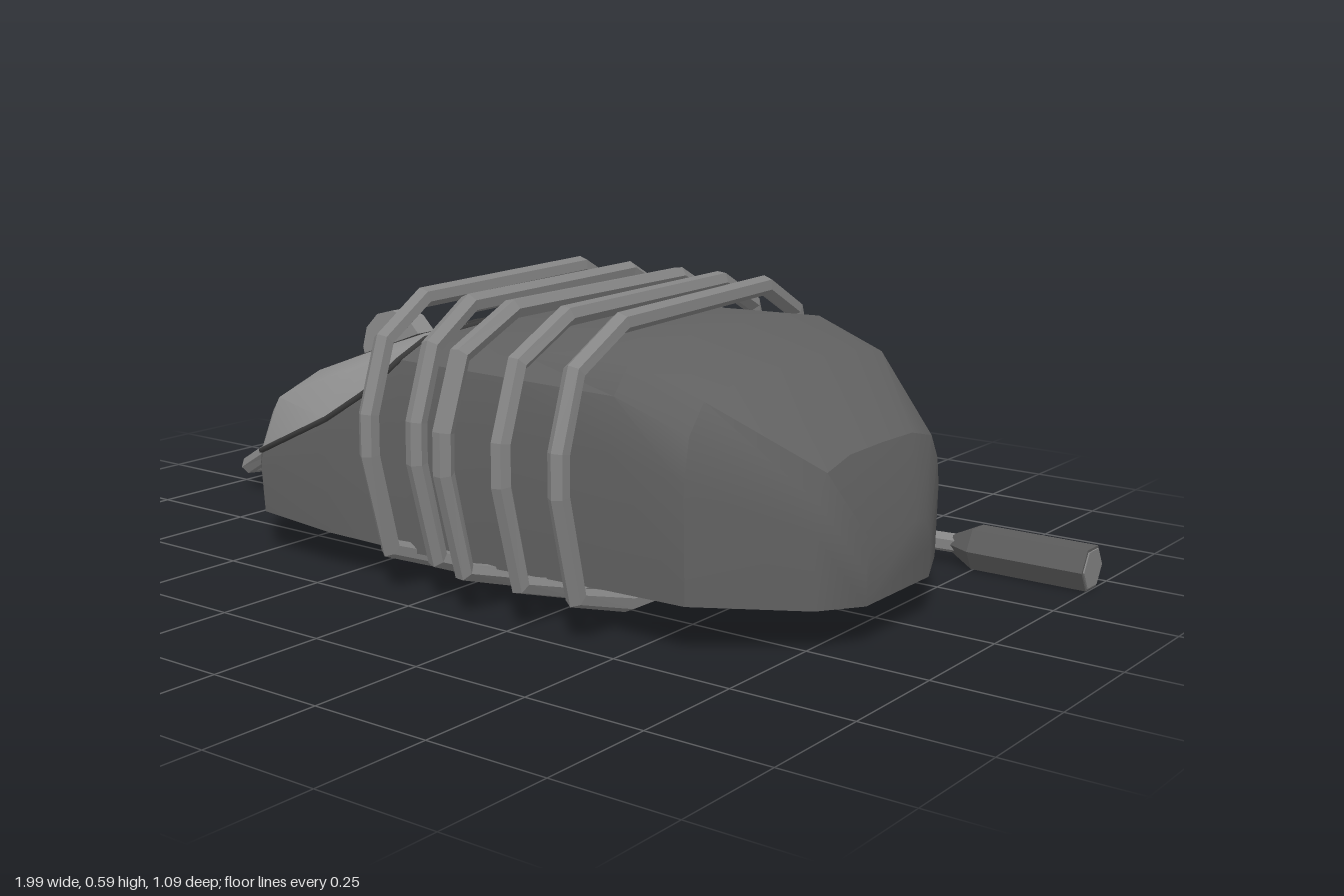
import * as THREE from 'three';
import { toCreasedNormals } from 'three/addons/utils/BufferGeometryUtils.js';

const mat = (name, color, flatShading = false) => {
  const m = new THREE.MeshStandardMaterial({ color, flatShading });
  m.name = name;
  return m;
};

// Straight-segment path whose corners are mitred
class Polyline extends THREE.Curve {
  constructor(points) { super(); this.points = points; }
  getPoint(t, target = new THREE.Vector3()) {
    const n = this.points.length - 1, f = t * n, i = Math.min(Math.floor(f + 1e-6), n - 1);
    return target.lerpVectors(this.points[i], this.points[i + 1], f - i);
  }
  getPointAt(u, target) { return this.getPoint(u, target); }
  getTangentAt(u, target = new THREE.Vector3()) {
    const p = this.points, n = p.length - 1, i = Math.round(u * n);
    target.set(0, 0, 0);
    if (i > 0) target.add(p[i].clone().sub(p[i - 1]).normalize());
    if (i < n) target.add(p[i + 1].clone().sub(p[i]).normalize());
    return target.normalize();
  }
}
const V = (x, y, z) => new THREE.Vector3(x, y, z);
const tube = (points, radius, sides) =>
  new THREE.TubeGeometry(new Polyline(points), points.length - 1, radius, sides, false);

// Body stations: x, zMin, zMax, bottom y, seam y, top y
const stations = [
  [-0.65, -0.05, 0.13, 0.10, 0.17, 0.225],
  [-0.61, -0.19, 0.31, 0.095, 0.19, 0.305],
  [-0.50, -0.30, 0.41, 0.09, 0.225, 0.375],
  [-0.30, -0.34, 0.42, 0.08, 0.32, 0.45],
  [-0.20, -0.335, 0.41, 0.075, 0.385, 0.485],
  [-0.09, -0.33, 0.40, 0.07, 0.46, 0.515],
  [0.12, -0.345, 0.41, 0.08, 0.46, 0.53],
  [0.43, -0.36, 0.425, 0.095, 0.46, 0.54],
  [0.60, -0.32, 0.43, 0.10, 0.41, 0.49],
  [0.78, -0.18, 0.28, 0.09, 0.29, 0.36],
  [0.83, -0.06, 0.18, 0.085, 0.17, 0.21],
];
const SHELL_END = 5, LAST = stations.length - 1, RING = 11;

// Point j of a section, running from the +z bottom edge over the top to the -z bottom edge
function ringPoint(i, j) {
  const [x, z0, z1, yb, ys, yt] = stations[i];
  const k = Math.abs(5 - j), side = Math.sign(5 - j);
  const seamWidth = i >= SHELL_END ? 0.96 : 0.99;
  const width = [0, 0.5, 0.84, seamWidth, 1, 0.98][k];
  const rise = [1, 0.97, 0.7, 0][k];
  const y = k === 5 ? yb : k === 4 ? yb + (ys - yb) * 0.72 : ys + (yt - ys) * rise;
  const bow = i === SHELL_END ? [0.03, 0.025, 0, -0.03, -0.02, 0][k] : 0;
  return V(x + bow, y, (z0 + z1) / 2 + side * width * (z1 - z0) / 2);
}

function patch(out, i0, i1, j0, j1) {
  for (let i = i0; i < i1; i++) for (let j = j0; j < j1; j++) {
    const n = (j + 1) % RING;
    const a = ringPoint(i, j), b = ringPoint(i + 1, j), c = ringPoint(i + 1, n), d = ringPoint(i, n);
    out.push(a, b, d, b, c, d);
  }
}
function fan(out, i, ids, flip) {
  const p = ids.map(j => ringPoint(i, j));
  for (let k = 1; k < p.length - 1; k++) {
    if (flip) out.push(p[0], p[k + 1], p[k]);
    else out.push(p[0], p[k], p[k + 1]);
  }
}
const surface = (tris, crease) =>
  toCreasedNormals(new THREE.BufferGeometry().setFromPoints(tris), crease);

export function createModel() {
  const group = new THREE.Group();
  const dark = mat('darkGrey', 0x616161);
  const light = mat('lightGrey', 0x929292);
  const cableGrey = mat('cableGrey', 0x858585, true);
  const black = mat('seamGrey', 0x3c3c3c);
  const plugGrey = mat('plugGrey', 0x5c5c5c, true);
  const add = (name, geometry, material, x = 0, y = 0, z = 0) => {
    const m = new THREE.Mesh(geometry, material);
    m.name = name;
    m.position.set(x, y, z);
    group.add(m);
    return m;
  };

  // Dark lower body and rear hump
  const body = [];
  patch(body, 0, SHELL_END, 0, 2);
  patch(body, 0, SHELL_END, 8, RING);
  patch(body, SHELL_END, LAST, 0, RING);
  fan(body, 0, [0, 1, 2, 8, 9, 10], false);
  fan(body, LAST, [...Array(RING).keys()], true);
  add('body', surface(body, 0.55), dark);

  // Light button shell on the front half
  const shell = [];
  patch(shell, 0, SHELL_END, 2, 8);
  fan(shell, 0, [2, 3, 4, 5, 6, 7, 8], false);
  add('buttonShell', surface(shell, 0.7), light);

  // Dark lip around the shell
  const lip = [];
  for (let i = 0; i < SHELL_END; i++) lip.push(ringPoint(i, 2));
  for (let j = 2; j <= 8; j++) lip.push(ringPoint(SHELL_END, j));
  for (let i = SHELL_END - 1; i >= 0; i--) lip.push(ringPoint(i, 8));
  lip.push(ringPoint(0, 2));
  add('shellLip', tube(lip, 0.007, 5), black);

  // Button split, before and behind the wheel
  const split = (...p) => p.map(([x, y]) => V(x, y, 0.06));
  add('frontSplit', tube(split([-0.64, 0.25], [-0.61, 0.304], [-0.53, 0.354]), 0.007, 5), black);
  add('rearSplit', tube(split([-0.30, 0.449], [-0.20, 0.484], [-0.07, 0.513]), 0.007, 5), black);

  // Scroll wheel in its dark slot
  const slot = add('wheelSlot', new THREE.BoxGeometry(0.21, 0.03, 0.09), black, -0.42, 0.4, 0.06);
  slot.rotation.z = 0.36;
  const wheel = add('scrollWheel', new THREE.CylinderGeometry(0.09, 0.09, 0.052, 12), mat('wheelGrey', 0x8c8c8c, true), -0.42, 0.4, 0.06);
  wheel.rotation.x = Math.PI / 2;

  // Cable: loose loop from the nose, then five turns around the body, then the plug
  const path = [
    V(-0.74, 0.15, 0.08), V(-0.78, 0.143, 0.08), V(-0.93, 0.06, 0.05), V(-0.975, 0.04, -0.04),
    V(-0.945, 0.04, -0.22), V(-0.87, 0.045, -0.36), V(-0.75, 0.045, -0.45), V(-0.56, 0.05, -0.53),
    V(-0.40, 0.05, -0.515), V(-0.26, 0.05, -0.485), V(-0.20, 0.11, -0.455),
  ];
  const backX = [-0.165, -0.03, 0.11, 0.21, 0.315];
  const frontX = [-0.10, 0.02, 0.12, 0.26, 0.395];
  const frontZ = [0.495, 0.49, 0.525, 0.525, 0.525];
  const over = [[-0.425, 0.29], [-0.43, 0.37], [-0.375, 0.51], [-0.24, 0.577],
    [0.32, 0.577], [0.48, 0.51], [0.53, 0.37]];
  const under = [[0.53, 0.29], [0.48, 0.09], [0.32, 0.045], [-0.25, 0.045], [-0.365, 0.09]];
  const mix = (a, b, z) => THREE.MathUtils.mapLinear(z, -0.43, 0.53, a, b);
  backX.forEach((bx, n) => {
    const shrink = z => z > 0.4 ? z - (0.53 - frontZ[n]) : z;
    const place = (x0, [z, y]) => path.push(V(mix(x0, frontX[n], z), y, shrink(z)));
    over.forEach(p => place(bx, p));
    if (n < 4) under.forEach(p => place(backX[n + 1], p));
    else under.slice(0, 3).forEach(p => place(0.40, p));
  });
  path.push(V(0.41, 0.045, -0.24), V(0.50, 0.045, -0.335), V(0.59, 0.045, -0.415), V(0.72, 0.045, -0.43));
  add('cable', tube(path, 0.021, 6), cableGrey);
  add('strainRelief', tube([V(-0.62, 0.15, 0.08), V(-0.75, 0.15, 0.08), V(-0.785, 0.14, 0.08)], 0.034, 6), cableGrey);

  // Hexagonal plug with a tapered neck and a pale end face
  const hex = (name, r0, r1, length, x, material) => {
    const g = new THREE.CylinderGeometry(r1, r0, length, 6);
    g.rotateZ(-Math.PI / 2);
    add(name, g, material, x, 0.045, -0.43);
  };
  hex('plugNeck', 0.022, 0.049, 0.05, 0.72, plugGrey);
  hex('plug', 0.049, 0.049, 0.252, 0.871, plugGrey);
  hex('plugEnd', 0.043, 0.043, 0.006, 0.997, cableGrey);
  return group;
}
